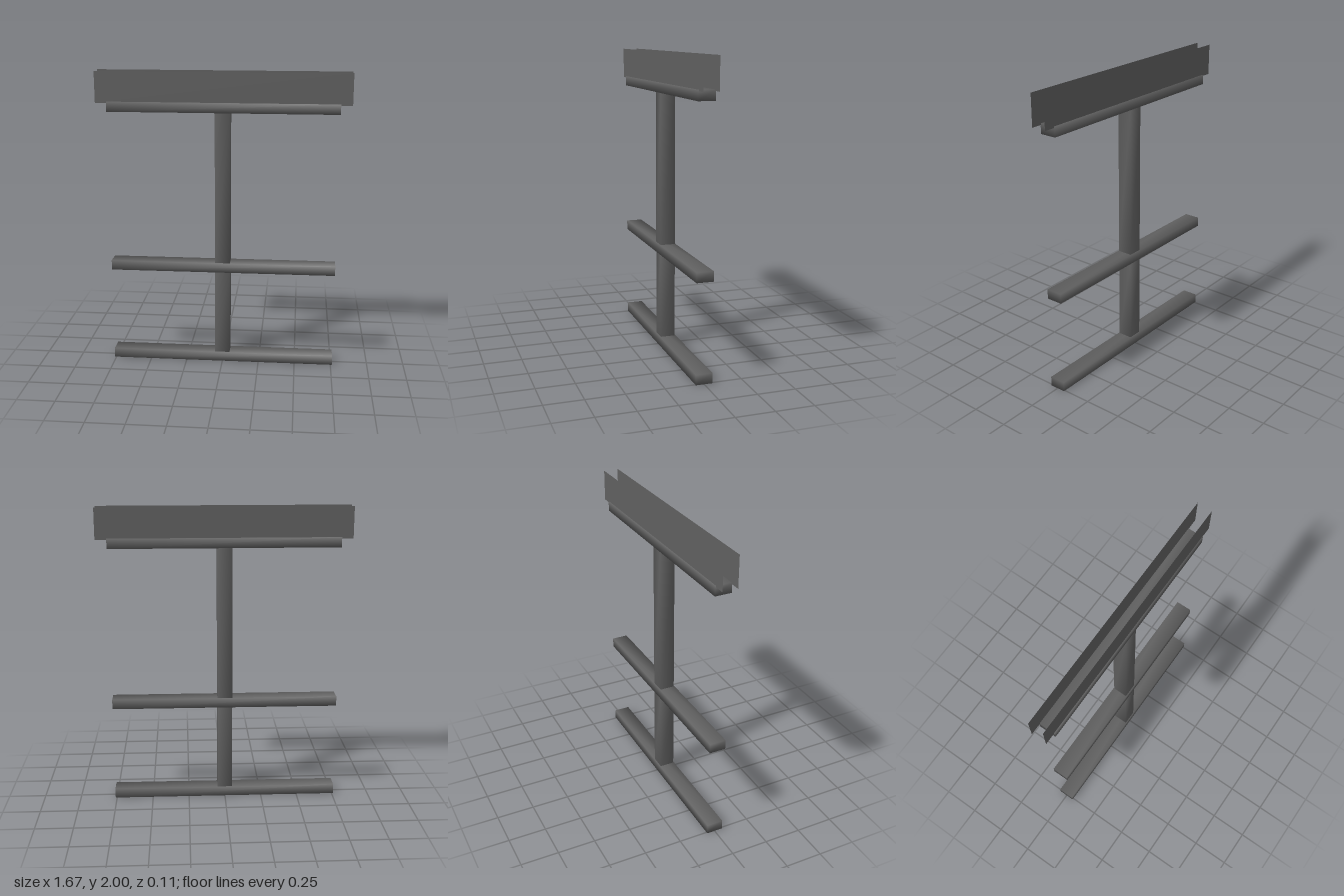
import * as THREE from 'three';
import { mergeVertices } from 'three/addons/utils/BufferGeometryUtils.js';

// Box with shared corners, so its shading runs smoothly around the edges
function softBox(w, h, d) {
  const box = new THREE.BoxGeometry(w, h, d);
  box.deleteAttribute('normal');
  box.deleteAttribute('uv');
  const merged = mergeVertices(box);
  merged.computeVertexNormals();
  return merged;
}

export function createModel() {
  const model = new THREE.Group();
  const steel = new THREE.MeshStandardMaterial({ name: 'dark grey', color: 0x606060, side: THREE.DoubleSide });

  const add = (name, geometry, y, z = 0) => {
    const mesh = new THREE.Mesh(geometry, steel);
    mesh.name = name;
    mesh.position.set(0, y, z);
    model.add(mesh);
    return mesh;
  };

  // Three horizontal bars
  const bar = softBox(1.52, 0.066, 0.11);
  add('bottomBar', bar, 0.033);
  add('middleBar', bar, 0.683);
  add('topBar', bar, 1.769);

  // Square post, in two lengths between the bars
  for (const [name, y0, y1] of [['lowerPost', 0.066, 0.65], ['upperPost', 0.716, 1.736]]) {
    add(name, softBox(0.1, y1 - y0, 0.1), (y0 + y1) / 2);
  }

  // Thin upright panels along both sides of the top bar
  const panel = new THREE.PlaneGeometry(1.67, 0.207);
  add('frontPanel', panel, 1.8965, 0.05);
  add('backPanel', panel, 1.8965, -0.05).rotation.y = Math.PI;

  return model;
}
